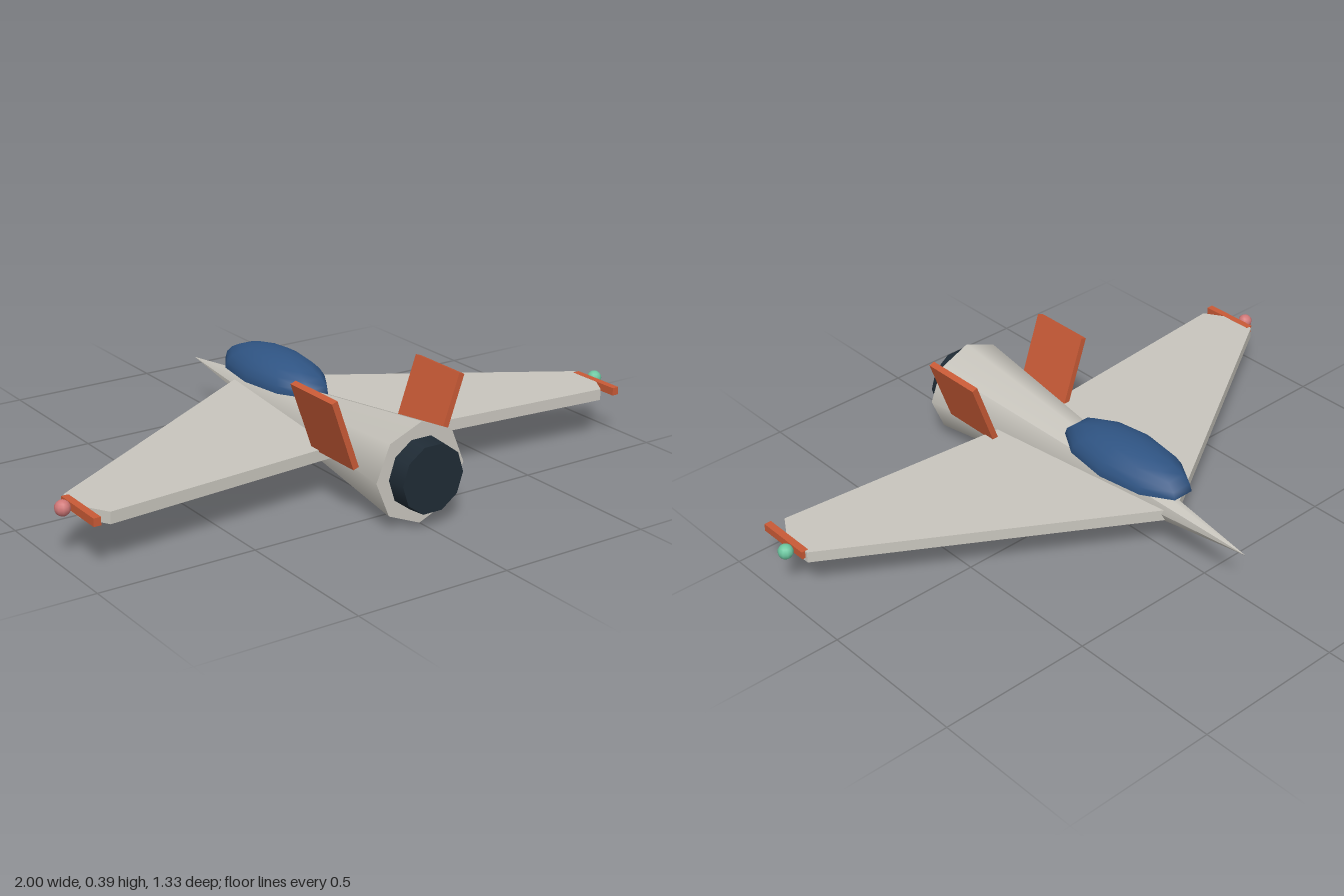
import * as THREE from 'three';

const mat = (name, color, side = THREE.FrontSide) => {
  const m = new THREE.MeshStandardMaterial({ color, side });
  m.name = name;
  return m;
};

export function createModel() {
  const hull = mat('hull grey', 0xc8c5bd);
  const accent = mat('accent orange', 0xc85a36);
  const glass = mat('canopy blue', 0x2f5483, THREE.DoubleSide);
  const dark = mat('engine dark', 0x1f2b35);
  const green = mat('light green', 0x6cc6a0);
  const red = mat('light red', 0xd07878);

  const model = new THREE.Group();
  model.name = 'deltaJet';
  const add = (name, geometry, material, x, y, z) => {
    const mesh = new THREE.Mesh(geometry, material);
    mesh.name = name;
    mesh.position.set(x, y, z);
    model.add(mesh);
    return mesh;
  };
  const midY = 0.16;

  // Eight-sided fuselage cone, its point at -z
  const body = new THREE.ConeGeometry(0.157, 1.265, 8).rotateX(-Math.PI / 2);
  add('fuselage', body, hull, 0, midY, -0.028);

  // Engine nozzle, narrowing toward its open end
  const nozzle = new THREE.CylinderGeometry(0.108, 0.118, 0.12, 10);
  nozzle.rotateY(Math.PI / 2).rotateX(Math.PI / 2);
  add('engineNozzle', nozzle, dark, 0, midY, 0.605);

  // Delta wing in one slab, outlined in x and z and mirrored
  const half = [[0, -0.373], [0.942, 0.205], [0.942, 0.305], [0.893, 0.387], [0, 0.31]];
  const mirrored = half.slice(1, 4).reverse().map(([x, z]) => [-x, z]);
  const outline = [...half, ...mirrored].map(([x, z]) => new THREE.Vector2(x, z));
  const wing = new THREE.ExtrudeGeometry(new THREE.Shape(outline), { depth: 0.037, bevelEnabled: false });
  wing.rotateX(Math.PI / 2);
  add('wing', wing, hull, 0, 0.174, 0);

  // Half-ellipsoid canopy
  const canopy = new THREE.SphereGeometry(1, 10, 6, 0, Math.PI * 2, 0, Math.PI / 2);
  canopy.scale(0.115, 0.09, 0.256);
  add('canopy', canopy, glass, 0, 0.238, -0.158);

  // Canted fins, wingtip rails and navigation lights
  for (const s of [1, -1]) {
    const side = s > 0 ? 'left' : 'right';
    const fin = add(side + 'Fin', new THREE.BoxGeometry(0.02, 0.23, 0.212), accent, s * 0.19, 0.279, 0.392);
    fin.rotation.z = -s * 0.34;
    add(side + 'TipRail', new THREE.BoxGeometry(0.023, 0.025, 0.19), accent, s * 0.942, 0.162, 0.309);
    add(side + 'NavLight', new THREE.SphereGeometry(0.024, 10, 8), s > 0 ? green : red, s * 0.976, 0.162, 0.265);
  }
  return model;
}
